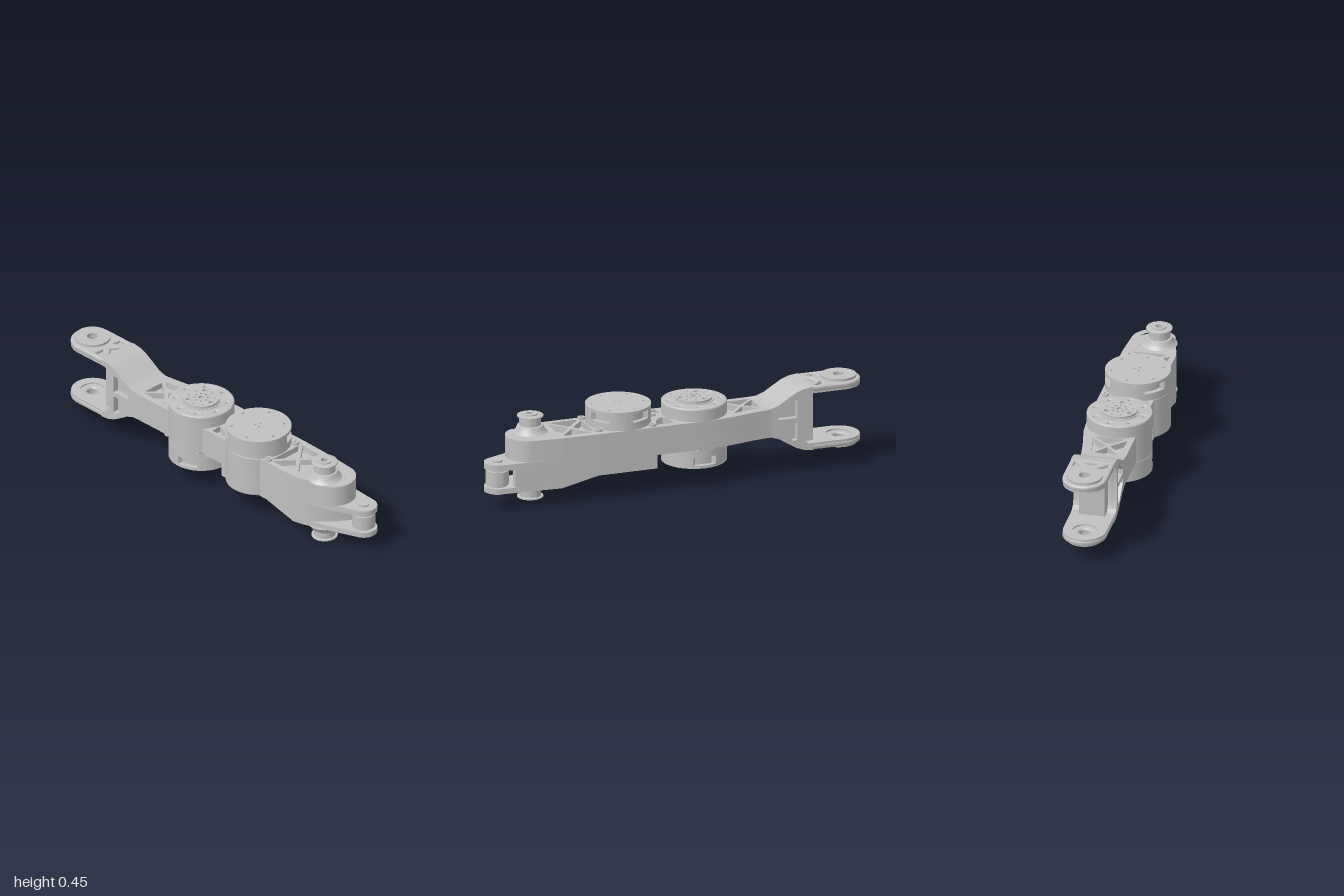
import * as THREE from 'three';
import { toCreasedNormals } from 'three/addons/utils/BufferGeometryUtils.js';

const gray = new THREE.MeshStandardMaterial({ color: 0xc0c0c0 });
gray.name = 'plain gray';

const V = (p) => p.map(([a, b]) => new THREE.Vector2(a, b));
const smooth = (g) => toCreasedNormals(g.index ? g.toNonIndexed() : g, 0.6);

function add(group, name, geometry) {
  const m = new THREE.Mesh(smooth(geometry), gray);
  m.name = name;
  group.add(m);
  return m;
}

// Arc points around (cx, cz), angles in degrees from +x towards +z
function arc(cx, cz, r, a0 = 0, a1 = 360, n = 24) {
  const full = Math.abs(a1 - a0) === 360;
  return Array.from({ length: full ? n : n + 1 }, (_, i) => {
    const a = THREE.MathUtils.degToRad(a0 + ((a1 - a0) * i) / n);
    return [cx + r * Math.cos(a), cz + r * Math.sin(a)];
  });
}

// Ring of small round holes
const holeRing = (r, n, size, start = 0) => Array.from({ length: n }, (_, i) => {
  const [c] = arc(0, 0, r, start + (i * 360) / n, start + (i * 360) / n + 1, 1);
  return arc(c[0], c[1], size, 0, 360, 10);
});

function shapeOf(outline, holes = []) {
  const s = new THREE.Shape(V(outline));
  s.holes = holes.map((h) => new THREE.Path(V(h)));
  return s;
}

// Plan outline in (x, z), raised from y0 to y1
function slab(outline, holes, y0, y1, bevel = 0) {
  const g = new THREE.ExtrudeGeometry(shapeOf(outline, holes), {
    depth: y1 - y0 - 2 * bevel, bevelEnabled: bevel > 0, bevelThickness: bevel,
    bevelSize: bevel, bevelOffset: -bevel, bevelSegments: 3,
  });
  return g.rotateX(Math.PI / 2).translate(0, y1 - bevel, 0);
}

// Side outline in (z, y), spread from x0 to x1
function sideSlab(outline, holes, x0, x1) {
  const g = new THREE.ExtrudeGeometry(shapeOf(outline, holes), { depth: x1 - x0, bevelEnabled: false });
  return g.rotateY(-Math.PI / 2).translate(x1, 0, 0);
}

// Four triangular pockets leaving an X of ribs inside a quad
function truss(q, k = 0.8) {
  const mid = [0, 1].map((i) => q.reduce((s, p) => s + p[i], 0) / 4);
  return q.map((p, i) => {
    const t = [p, q[(i + 1) % 4], mid];
    const c = [0, 1].map((j) => (t[0][j] + t[1][j] + t[2][j]) / 3);
    return t.map((v) => [c[0] + (v[0] - c[0]) * k, c[1] + (v[1] - c[1]) * k]);
  });
}

// Body section with pockets sunk into its top and bottom
function section(group, name, outline, y0, y1, pockets, through = [], rule = null, low = pockets) {
  const d = 0.03;
  [[y0, y0 + d, low], [y0 + d, y1 - d, []], [y1 - d, y1, pockets]].forEach(([a, b, h]) => {
    const g = slab(outline, [...through, ...h], a, b);
    if (rule) {
      const p = g.attributes.position;
      for (let i = 0; i < p.count; i++) p.setY(i, rule(p.getY(i), p.getZ(i)));
    }
    add(group, name, g);
  });
}

// Actuator with its output disc up; notches are angles of connector slots in the cap
function actuator(name, notches) {
  const g = new THREE.Group();
  g.name = name;
  const R = 0.163;
  const disc = (r) => arc(0, 0, r, 0, 360, 64);
  const band = arc(0, 0, 1, 0, 360, 120).map(([x, z], i) => {
    const cut = notches.some((n) => Math.abs(((i * 3 - n + 540) % 360) - 180) < 19);
    return [x * (cut ? R - 0.025 : R), z * (cut ? R - 0.025 : R)];
  });
  add(g, 'motorCapEnd', slab(disc(R), [...holeRing(0.13, 6, 0.008, 20), ...holeRing(0.018, 3, 0.006)], 0.1, 0.115));
  add(g, 'motorCapBand', slab(band, [], 0.113, 0.157));
  add(g, 'motorCapRim', slab(disc(R), [], 0.157, 0.197));
  add(g, 'housing', new THREE.LatheGeometry(V([[0, 0.2], [0.16, 0.2], [0.16, 0.197], [R, 0.2], [R, 0.4], [0, 0.4]]), 64));
  add(g, 'housingFace', slab(disc(R), holeRing(0.13, 8, 0.009, 10), 0.385, 0.41, 0.006));
  add(g, 'outputBase', slab(disc(0.098), [], 0.4, 0.414));
  add(g, 'outputDisc', slab(disc(0.09), [
    ...holeRing(0.067, 3, 0.013, 90), ...holeRing(0.067, 9, 0.006, 10).filter((_, i) => i % 3 !== 2),
    ...holeRing(0.035, 8, 0.007), arc(0, 0, 0.015),
  ], 0.41, 0.426));
  return g;
}

export function createModel() {
  const model = new THREE.Group();
  model.name = 'robotArmLink';
  const flip = (y) => 0.545 - y;

  // Beam between the fork and the first actuator, with an open window
  section(model, 'rearBeam', [[-0.11, -0.5], [0.11, -0.5], [0.125, -0.4], [0.155, -0.25], [0.163, -0.15], [0.163, 0.12], [-0.11, 0.12]],
    0.2, 0.345,
    [...truss([[-0.085, -0.47], [0.07, -0.47], [0.105, -0.29], [-0.085, -0.29]]),
      [[-0.09, 0.035], [-0.035, 0.035], [-0.07, 0.11], [-0.09, 0.11]]],
    [[[0.03, 0.045], [0.05, 0.025], [0.12, 0.02], [0.13, 0.035], [0.125, 0.11], [0.115, 0.118], [0.035, 0.07]]]);

  // Deeper block around the second actuator, then the sloping truss block
  add(model, 'middleBlock', slab([[-0.11, 0.12], [0.163, 0.12], [0.163, 0.43], [-0.11, 0.43]], [], 0.13, 0.345));
  section(model, 'trussBlock', [[-0.11, 0.43], [0.163, 0.43], [0.158, 0.62], [-0.11, 0.62]], 0.13, 0.345,
    truss([[-0.09, 0.43], [0.135, 0.43], [0.13, 0.62], [-0.09, 0.62]]), [],
    (y, z) => (y < 0.2 ? y - ((z - 0.43) / 0.19) * 0.045 : y));

  // Nose carrying the pulley shaft, with a curved slot on top
  const bore = [arc(0, 0.73, 0.018)];
  const nose = [[-0.11, 0.62], [-0.1, 0.67], [-0.055, 0.785], ...arc(0.035, 0.755, 0.113, 155, 10, 16), [0.158, 0.62]];
  const slot = [...arc(0, 0.73, 0.097, -25, 65), ...arc(0, 0.73, 0.122, 65, -25)];
  add(model, 'noseTop', slab(nose, [...bore, slot], 0.32, 0.345));
  add(model, 'nose', slab(nose, bore, 0.235, 0.32));
  add(model, 'noseCore', slab([[-0.11, 0.62], [-0.1, 0.67], [-0.085, 0.71], [0, 0.8], [0.07, 0.845], [0.12, 0.865], [0.143, 0.86], [0.158, 0.62]],
    bore, 0.11, 0.207));

  // Clevis plates and roller
  const rx = 0.073, rz = 0.93;
  const clevis = [[-0.11, 0.62], [-0.1, 0.67], [-0.04, 0.83], ...arc(rx, rz, 0.067, 160, 10, 20), [0.158, 0.62]];
  add(model, 'clevisUpperPlate', slab(clevis, bore, 0.205, 0.236));
  add(model, 'clevisLowerPlate', slab(clevis, bore, 0.085, 0.112));
  const cyl = (name, r, y0, y1, x, z) =>
    add(model, name, new THREE.CylinderGeometry(r, r, y1 - y0, 40).translate(x, (y0 + y1) / 2, z));
  cyl('roller', 0.058, 0.122, 0.194, rx, rz);
  cyl('rollerHub', 0.045, 0.11, 0.207, rx, rz);
  cyl('rollerPin', 0.026, 0.23, 0.245, rx, rz);
  cyl('rollerPinHead', 0.05, 0.078, 0.09, rx, rz);

  // Pulleys above and below the nose, with flared bosses
  const pulley = [[0.018, 0], [0.09, 0], [0.08, 0.008], [0.072, 0.018], [0.066, 0.034], [0.064, 0.038], [0.054, 0.04],
    [0.054, 0.08], [0.065, 0.082], [0.065, 0.089], [0.06, 0.091], [0.035, 0.091], [0.035, 0.097], [0.018, 0.097], [0.018, 0]];
  const top = add(model, 'upperPulley', new THREE.LatheGeometry(V(pulley), 48));
  top.position.set(0, 0.343, 0.73);
  const low = add(model, 'lowerPulley', new THREE.LatheGeometry(V(pulley.map(([r, y]) => [r, y * 0.9])), 48));
  low.position.set(0, 0.087, 0.73);
  low.rotation.x = Math.PI;

  // Two actuators facing opposite ways
  const rear = actuator('rearActuator', [0, 160]);
  rear.position.z = -0.132;
  model.add(rear);
  const front = actuator('frontActuator', [-55, 25, 135]);
  front.position.set(0, 0.54, 0.267);
  front.rotation.x = Math.PI;
  model.add(front);

  // Screw lugs around the actuator rims
  [[0.135, 0.135], [-0.012, 0.085], [-0.088, 0.428], [0.115, 0.412]].forEach(([x, z]) =>
    add(model, 'screwLug', slab(arc(x, z, 0.018), [arc(x, z, 0.008, 0, 360, 10)], 0.34, 0.357)));
  [[0.1, 0.015], [-0.09, 0.01], [-0.09, -0.275], [0.09, -0.278]].forEach(([x, z]) =>
    add(model, 'screwLug', slab(arc(x, z, 0.018), [arc(x, z, 0.008, 0, 360, 10)], 0.186, 0.205)));

  // Flared neck of the fork with recessed sides
  const upper = [[-0.46, 0.345], [-0.5, 0.347], [-0.54, 0.361], [-0.58, 0.386], [-0.63, 0.416], [-0.67, 0.431], [-0.72, 0.437],
    [-0.72, 0.405], [-0.695, 0.402], [-0.675, 0.388], [-0.665, 0.36]];
  const mirror = (pts) => pts.map(([z, y]) => [z, flip(y)]);
  const neck = [...upper, ...mirror(upper).reverse()];
  const recess = [[-0.535, 0.285], [-0.635, 0.285], [-0.635, 0.375], [-0.615, 0.378], [-0.535, 0.31]];
  add(model, 'forkNeck', sideSlab(neck, [], -0.08, 0.08));
  [[-0.11, -0.08], [0.08, 0.11]].forEach(([a, b]) =>
    add(model, 'forkNeckSide', sideSlab(neck, [recess, mirror(recess)], a, b)));
  add(model, 'forkStop', new THREE.BoxGeometry(0.13, 0.27, 0.08).translate(0, 0.2725, -0.695));

  // Fork arms: rounded ends, pockets, washers and bores
  const armOutline = (r, z) => [[r, z], [-r, z], ...arc(0, -0.89, r, 180, 360, 28)];
  const pockets = [
    [[-0.085, -0.785], [-0.035, -0.785], [-0.085, -0.735]],
    [[0.085, -0.785], [0.085, -0.735], [0.035, -0.785]],
    [[0, -0.765], [0.045, -0.732], [-0.045, -0.732]],
  ];
  const eye = [arc(0, -0.893, 0.028)];
  for (const side of [1, -1]) {
    const arm = new THREE.Group();
    arm.name = side > 0 ? 'upperForkArm' : 'lowerForkArm';
    const span = (a, b) => (side > 0 ? [a, b] : [flip(b), flip(a)]);
    add(arm, 'armOuter', slab(armOutline(0.11, -0.705), [...eye, ...pockets], ...span(0.41, 0.437), 0.008));
    add(arm, 'armInner', slab(armOutline(0.108, -0.7), [arc(0, -0.893, 0.06, 0, 360, 32)], ...span(0.402, 0.422)));
    add(arm, 'washer', slab(arc(0, -0.893, 0.088, 0, 360, 48), eye, ...span(0.43, 0.45)));
    model.add(arm);
  }
  return model;
}
